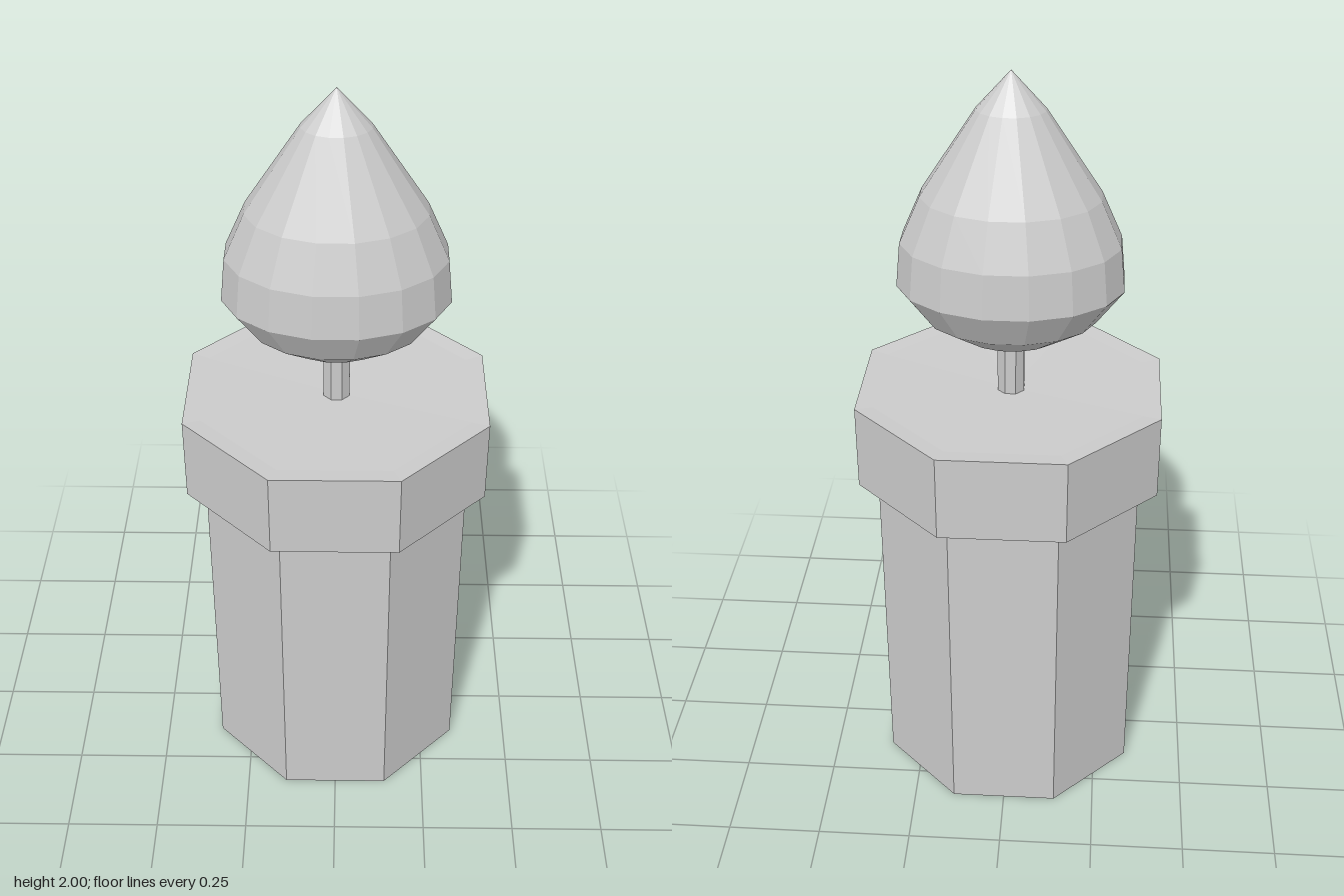
import * as THREE from 'three';

export function createModel() {
  const group = new THREE.Group();
  const material = new THREE.MeshStandardMaterial({ color: 0xcccccc, flatShading: true });

  // Faceted solid of revolution; profile is [half width across flats, height], bottom to top.
  function turned(name, profile, sides, depthScale) {
    const toCorner = 1 / Math.cos(Math.PI / sides);
    const points = profile.map(([r, y]) => new THREE.Vector2(r * toCorner, y));
    const geometry = new THREE.LatheGeometry(points, sides, Math.PI / sides);
    geometry.scale(1, 1, depthScale);
    const mesh = new THREE.Mesh(geometry, material);
    mesh.name = name;
    group.add(mesh);
  }

  // Octagonal wax column
  turned('candleBody', [[0, 0], [0.341, 0], [0.341, 0.94], [0, 0.94]], 8, 0.983);

  // Wider rim with a slightly dished top
  turned('candleRim', [
    [0, 0.93], [0.39, 0.93], [0.39, 1.16], [0.345, 1.157], [0, 1.147],
  ], 8, 0.98);

  // Wick
  turned('wick', [[0, 1.14], [0.034, 1.14], [0.034, 1.3], [0, 1.3]], 8, 1);

  // Teardrop flame, flattened front to back
  turned('flame', [
    [0, 1.283], [0.119, 1.304], [0.217, 1.363], [0.285, 1.455],
    [0.274, 1.57], [0.222, 1.69], [0.084, 1.905], [0, 2],
  ], 16, 0.755);

  return group;
}
